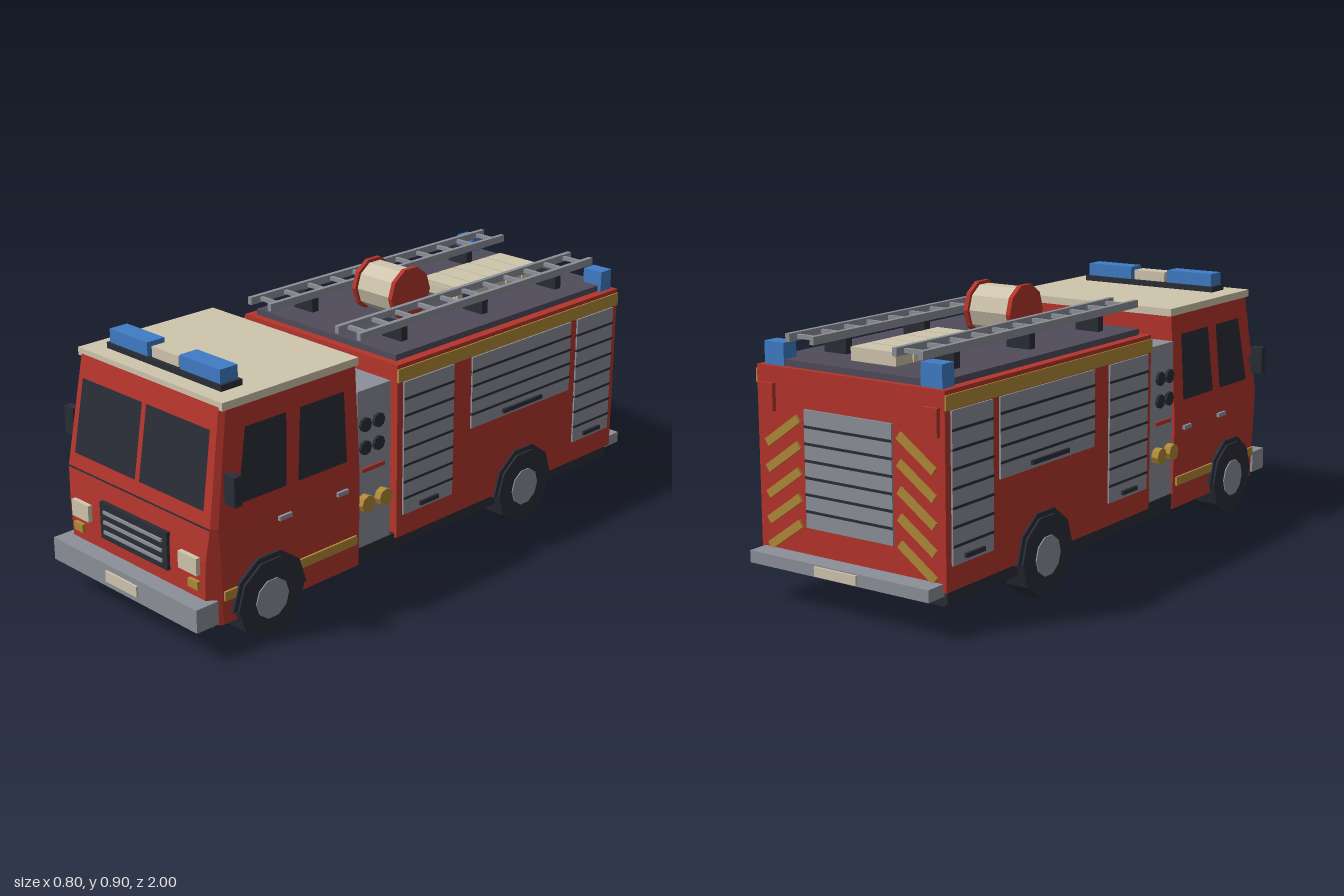
import * as THREE from 'three';

const material = (name, color, side = THREE.FrontSide) => {
  const m = new THREE.MeshStandardMaterial({ color, side });
  m.name = name;
  return m;
};

export function createModel() {
  const root = new THREE.Group();
  root.name = 'fireEngine';
  const red = material('red paint', 0xb5352c);
  const grey = material('light grey metal', 0x8d9099);
  const cream = material('cream', 0xd0c6ae);
  const dark = material('dark glass and rubber', 0x2b2d37, THREE.DoubleSide);
  const gold = material('gold', 0xb08a38);
  const blue = material('blue lamp', 0x3f7cc6);
  const deck = material('roof deck grey', 0x504c5a);

  const add = (name, geometry, mat, x = 0, y = 0, z = 0) => {
    const mesh = new THREE.Mesh(geometry, mat);
    mesh.name = name;
    mesh.position.set(x, y, z);
    root.add(mesh);
    return mesh;
  };
  // Box given by its lower and upper limits on each axis
  const box = (name, mat, x0, x1, y0, y1, z0, z1) =>
    add(name, new THREE.BoxGeometry(x1 - x0, y1 - y0, z1 - z0), mat,
      (x0 + x1) / 2, (y0 + y1) / 2, (z0 + z1) / 2);
  // Box on the side s (+1 or -1), a and b being distances from the centre
  const sideBox = (name, mat, s, a, b, y0, y1, z0, z1) =>
    box(name, mat, Math.min(s * a, s * b), Math.max(s * a, s * b), y0, y1, z0, z1);
  // Faceted cylinder lying along x
  const drum = (name, mat, r, width, n, x, y, z) =>
    add(name, new THREE.CylinderGeometry(r, r, width, n).rotateZ(Math.PI / 2).toNonIndexed(), mat, x, y, z)
      .geometry.computeVertexNormals();
  // Flat four-cornered face
  const pane = (name, mat, corners) => {
    const g = new THREE.BufferGeometry();
    g.setAttribute('position', new THREE.Float32BufferAttribute(corners.flat(), 3));
    g.setIndex([0, 1, 2, 0, 2, 3]);
    g.computeVertexNormals();
    return add(name, g, mat);
  };

  // Cab: lofted through plan outlines [y, half width, front z, corner cut]
  const levels = [[0.09, 0.345, 0.935, 0.032], [0.3, 0.35, 0.935, 0.026],
    [0.405, 0.35, 0.925, 0.014], [0.76, 0.33, 0.865, 0.012]];
  const rings = levels.map(([y, w, f, c]) => [[-w, 0.335], [w, 0.335], [w, f - c * 1.4],
    [w - c, f], [c - w, f], [-w, f - c * 1.4]].map(([x, z]) => [x, y, z]));
  const tri = [];
  for (let i = 0; i < rings.length - 1; i++) {
    for (let j = 0; j < 6; j++) {
      const k = (j + 1) % 6;
      const [a, b, c, d] = [rings[i][j], rings[i + 1][j], rings[i + 1][k], rings[i][k]];
      tri.push(a, b, c, a, c, d);
    }
  }
  for (let j = 1; j < 5; j++) {
    tri.push(rings[0][0], rings[0][j], rings[0][j + 1]);
    tri.push(rings[3][0], rings[3][j + 1], rings[3][j]);
  }
  const cab = new THREE.BufferGeometry();
  cab.setAttribute('position', new THREE.Float32BufferAttribute(tri.flat(), 3));
  cab.computeVertexNormals();
  add('cab', cab, red);
  box('cabRoof', cream, -0.335, 0.335, 0.752, 0.777, 0.325, 0.865);
  box('windscreenSeam', dark, -0.335, 0.335, 0.402, 0.406, 0.91, 0.928);

  // Main body, chassis and pump bay
  box('rearBody', red, -0.352, 0.352, 0.13, 0.715, -0.925, 0.172);
  box('chassis', dark, -0.343, 0.343, 0.09, 0.145, -0.91, 0.335);
  box('floor', dark, -0.335, 0.335, 0.084, 0.1, -0.91, 0.92);
  box('pumpBay', grey, -0.34, 0.34, 0.145, 0.668, 0.19, 0.335);
  box('bayGap', dark, -0.32, 0.32, 0.145, 0.65, 0.165, 0.195);
  box('roofDeck', deck, -0.32, 0.32, 0.71, 0.735, -0.905, 0.147);

  // Front face: windscreen, grille, lamps and bumper
  const wide = (y) => 0.354 - (y - 0.405) * 0.0563;
  const front = (y) => 0.929 - (y - 0.405) * 0.169;
  for (const s of [-1, 1]) {
    pane('windscreen', dark, [[s * 0.01, 0.453, front(0.453)], [s * 0.305, 0.453, front(0.453)],
      [s * 0.297, 0.69, front(0.69)], [s * 0.01, 0.69, front(0.69)]]);
    sideBox('headlight', cream, s, 0.215, 0.298, 0.253, 0.308, 0.92, 0.95);
    sideBox('indicator', gold, s, 0.253, 0.297, 0.205, 0.232, 0.92, 0.947);
  }
  box('grille', dark, -0.16, 0.16, 0.22, 0.342, 0.92, 0.945);
  for (const y of [0.247, 0.28, 0.313]) box('grilleBar', grey, -0.14, 0.14, y - 0.005, y + 0.005, 0.94, 0.951);
  box('frontBumper', grey, -0.345, 0.345, 0.1, 0.175, 0.91, 0.993);
  box('frontPlate', cream, -0.075, 0.075, 0.12, 0.156, 0.99, 1.0);
  box('rearBumper', grey, -0.34, 0.34, 0.118, 0.156, -0.993, -0.92);
  box('rearPlate', cream, -0.08, 0.08, 0.122, 0.152, -1.0, -0.99);

  // Roller shutters: [z0, z1, y0, y1, slats, handle half length]
  const shutters = [[-0.083, 0.147, 0.205, 0.655, 8, 0.043],
    [-0.67, -0.17, 0.41, 0.655, 5, 0.098], [-0.9, -0.705, 0.205, 0.655, 8, 0.045]];
  // Wheel arch outline: upper half of a ten-sided ring
  const archShape = new THREE.Shape(Array.from({ length: 6 }, (_, i) => new THREE.Vector2(
    0.147 * Math.cos(i * Math.PI / 5), 0.147 * Math.sin(i * Math.PI / 5))));

  for (const s of [-1, 1]) {
    // Cab side: windows, handles, stripe and mirror
    const win = (zb0, zb1, zt0, zt1) => pane('sideWindow', dark,
      [[zb0, 0.46], [zb1, 0.46], [zt1, 0.685], [zt0, 0.685]].map(([z, y]) => [s * wide(y), y, z]));
    win(0.64, 0.83, 0.625, 0.785);
    win(0.39, 0.592, 0.39, 0.57);
    sideBox('doorHandle', grey, s, 0.345, 0.36, 0.358, 0.372, 0.625, 0.675);
    sideBox('doorHandle', grey, s, 0.345, 0.36, 0.358, 0.372, 0.39, 0.435);
    sideBox('cabStripe', gold, s, 0.34, 0.355, 0.17, 0.2, 0.35, 0.89);
    sideBox('mirror', dark, s, 0.355, 0.4, 0.48, 0.573, 0.855, 0.884);
    sideBox('mirrorArm', dark, s, 0.33, 0.36, 0.515, 0.535, 0.862, 0.876);

    // Pump panel: gauges, label strip and outlets
    for (const z of [0.247, 0.305]) {
      for (const y of [0.48, 0.556]) drum('gauge', dark, 0.024, 0.02, 8, s * 0.34, y, z);
    }
    sideBox('panelStrip', red, s, 0.335, 0.346, 0.398, 0.411, 0.22, 0.318);
    for (const z of [0.232, 0.309]) drum('outlet', gold, 0.029, 0.045, 8, s * 0.343, 0.297, z);

    // Body side: stripe, shutters and handles
    sideBox('bodyStripe', gold, s, 0.35, 0.357, 0.658, 0.702, -0.925, 0.172);
    for (const [z0, z1, y0, y1, n, h] of shutters) {
      sideBox('shutter', grey, s, 0.35, 0.358, y0, y1, z0, z1);
      for (let i = 1; i < n; i++) {
        const y = y0 + (y1 - y0) * i / n;
        sideBox('shutterGroove', dark, s, 0.352, 0.36, y - 0.004, y + 0.004, z0, z1);
      }
      const m = (z0 + z1) / 2;
      sideBox('shutterHandle', dark, s, 0.355, 0.367, y0 + 0.013, y0 + 0.027, m - h, m + h);
    }

    // Wheels and arches
    for (const z of [0.718, -0.44]) {
      const arch = new THREE.ExtrudeGeometry(archShape, { depth: 0.04, bevelEnabled: false });
      add('wheelArch', arch.translate(0, 0, -0.02).rotateY(Math.PI / 2), dark, s * 0.339, 0.124, z);
      drum('tyre', dark, 0.13, 0.078, 10, s * 0.327, 0.124, z);
      drum('hub', grey, 0.065, 0.02, 10, s * 0.36, 0.124, z);
    }

    // Roof ladder with rungs and supports
    for (const x of [0.155, 0.25]) sideBox('ladderRail', grey, s, x - 0.008, x + 0.008, 0.787, 0.812, -0.9, 0.24);
    for (let i = 0; i < 11; i++) {
      const z = -0.86 + i * 0.1055;
      sideBox('ladderRung', grey, s, 0.155, 0.25, 0.793, 0.806, z - 0.006, z + 0.006);
    }
    for (const z of [0.032, -0.35, -0.728]) {
      sideBox('ladderSupport', dark, s, 0.16, 0.246, 0.73, 0.79, z - 0.014, z + 0.014);
    }

    // Blue lamps, tail lamps and rear chevrons
    sideBox('rearBeacon', blue, s, 0.257, 0.333, 0.715, 0.785, -0.91, -0.855);
    sideBox('frontBeacon', blue, s, 0.075, 0.255, 0.795, 0.84, 0.735, 0.802);
    sideBox('tailLamp', red, s, 0.28, 0.335, 0.58, 0.665, -0.94, -0.92);
    for (let i = 0; i < 5; i++) {
      const bar = add('chevron', new THREE.BoxGeometry(0.155, 0.026, 0.009), gold, s * 0.252, 0.525 - i * 0.08, -0.928);
      bar.rotation.z = -s * 0.61;
    }
  }

  // Rear shutter
  box('rearShutter', grey, -0.165, 0.165, 0.24, 0.6, -0.932, -0.924);
  for (let i = 1; i < 7; i++) {
    const y = 0.24 + i * 0.36 / 7;
    box('rearGroove', dark, -0.165, 0.165, y - 0.004, y + 0.004, -0.934, -0.926);
  }

  // Cab light bar
  box('lightBarBase', dark, -0.265, 0.265, 0.775, 0.796, 0.727, 0.808);
  box('lightBarCentre', cream, -0.062, 0.062, 0.795, 0.83, 0.738, 0.795);

  // Hose reel
  drum('hoseDrum', cream, 0.08, 0.15, 10, 0, 0.81, -0.16);
  for (const s of [-1, 1]) drum('reelFlange', red, 0.091, 0.016, 10, s * 0.083, 0.81, -0.16);

  // Slatted roof locker
  box('lockerBase', cream, -0.08, 0.08, 0.73, 0.768, -0.805, -0.39);
  for (let i = 0; i < 5; i++) {
    const z = -0.808 + i * 0.084;
    box('lockerSlat', cream, -0.085, 0.085, 0.735, 0.777, z, z + 0.078);
  }
  return root;
}
